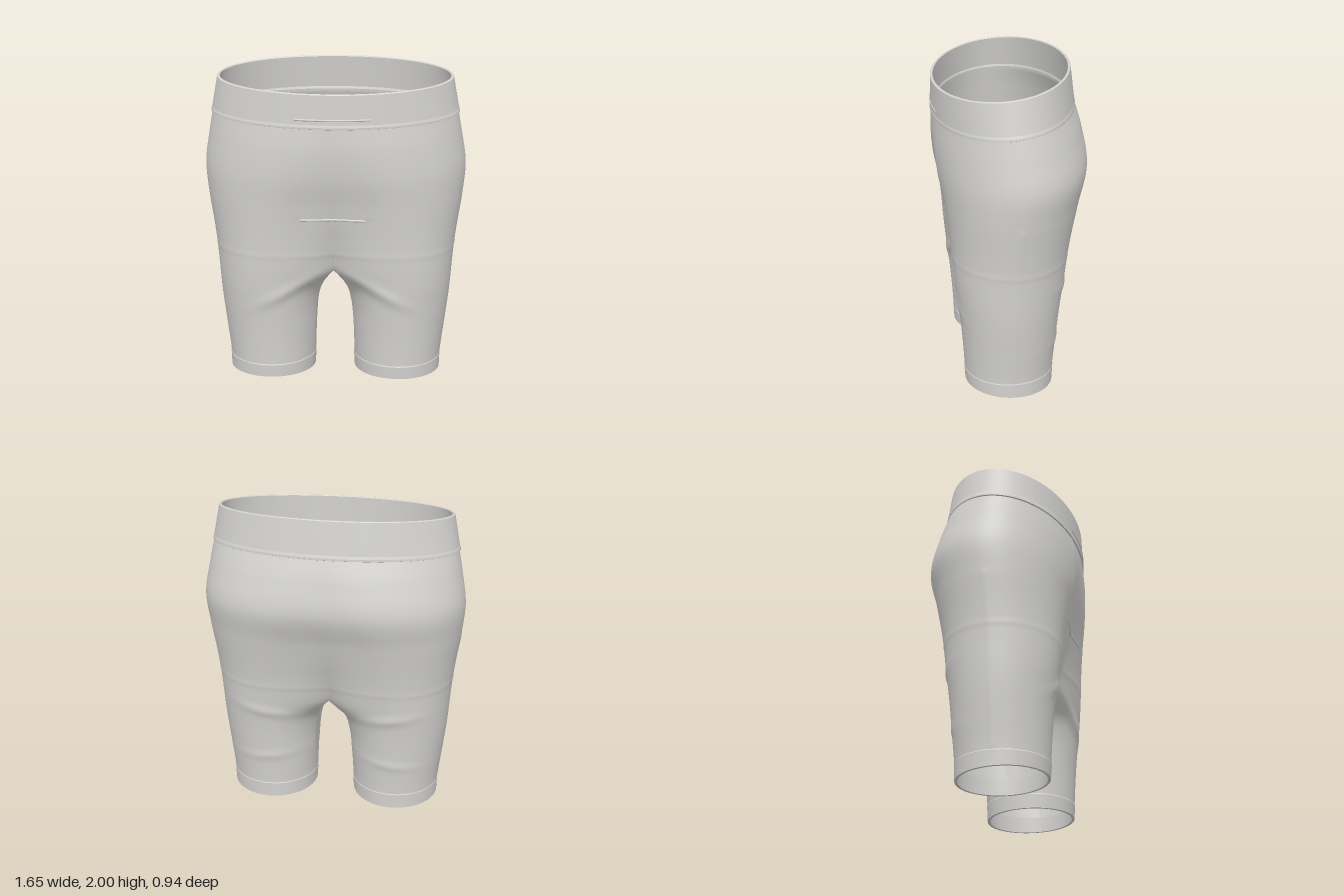
import * as THREE from 'three';
import { mergeGeometries, mergeVertices } from 'three/addons/utils/BufferGeometryUtils.js';

const CROTCH = 0.74, BAND = 1.735, TOP = 1.95;
// Half sections: height, outer x, lobe centre x, inner radius, front z, back z
const ROWS = [
  [0.00, 0.690, 0.410, 0.280, 0.315, -0.240],
  [0.10, 0.690, 0.410, 0.282, 0.318, -0.242],
  [0.30, 0.712, 0.410, 0.295, 0.330, -0.260],
  [0.50, 0.735, 0.405, 0.315, 0.348, -0.280],
  [0.62, 0.745, 0.400, 0.370, 0.362, -0.296],
  [0.74, 0.753, 0.385, 0.540, 0.374, -0.314],
  [0.86, 0.763, 0.360, 0.620, 0.384, -0.332],
  [1.00, 0.780, 0.330, 0.750, 0.395, -0.358],
  [1.20, 0.809, 0.270, 1.050, 0.418, -0.408],
  [1.39, 0.824, 0.170, 1.400, 0.450, -0.468],
  [1.58, 0.795, 0.080, 1.500, 0.465, -0.445],
  [1.75, 0.762, 0.000, 1.600, 0.462, -0.400],
];

// Smooth interpolation of the section table
function section(h) {
  const n = ROWS.length;
  let i = 0;
  while (i < n - 2 && h > ROWS[i + 1][0]) i++;
  const a = ROWS[i], b = ROWS[i + 1], p = ROWS[Math.max(i - 1, 0)], q = ROWS[Math.min(i + 2, n - 1)];
  const d = b[0] - a[0], t = (h - a[0]) / d, t2 = t * t, t3 = t2 * t;
  const [xo, cx, ri, zf, zb] = [1, 2, 3, 4, 5].map((c) => {
    const m0 = (b[c] - p[c]) / (b[0] - p[0]) * d, m1 = (q[c] - a[c]) / (q[0] - a[0]) * d;
    return (2 * t3 - 3 * t2 + 1) * a[c] + (t3 - 2 * t2 + t) * m0 + (3 * t2 - 2 * t3) * b[c] + (t3 - t2) * m1;
  });
  return { xo, cx, ri, zc: (zf + zb) / 2, rz: (zf - zb) / 2 };
}

const edgeAngle = (h) => {
  const s = section(Math.max(h, CROTCH));
  return Math.acos(Math.max(-1, -s.cx / s.ri));
};
const bump = (v, w) => Math.exp(-(v * v) / (w * w));
const step = THREE.MathUtils.smoothstep;

// Point on the cloth at height h and angle a (front = PI/2, outside = 0)
function skin(h, a, off = 0) {
  const s = section(h), c = Math.cos(a), n = Math.sin(a);
  // Raised stitching around the thigh and down the outside of the leg
  const raised = off + 0.002 * bump(h - 0.86, 0.014)
    + 0.003 * bump(Math.atan2(n, c), 0.05) * step(h, 0.09, 0.13) * (1 - step(h, 1.17, 1.2));
  let x = s.cx + ((c > 0 ? s.xo - s.cx : s.ri) + raised) * c;
  const gap = h < CROTCH ? 0.13 * (1 - Math.exp(-7 * (CROTCH - h))) - off : 0;
  x = Math.max(x, gap);
  let z = s.zc + (s.rz + raised) * n;
  // Front panel edge, and soft folds running out from the crotch and around the thighs
  if (n > 0) {
    z += 0.003 * bump(x - 0.215, 0.022) * step(h, 1.1, 1.14);
    z += 0.014 * n * bump(h - 0.76 + 0.5 * x, 0.045) * bump(x - 0.25, 0.2);
  } else z += 0.009 * n * (bump(h - 0.62 - 0.12 * x, 0.035) + 0.7 * bump(h - 0.36 + 0.1 * x, 0.03)) * bump(x - 0.4, 0.2);
  const tilt = 0.09 * step(h, 0.95, BAND);
  const hem = 1 - step(h, 0, 0.1);
  return new THREE.Vector3(x, h - tilt * z + hem * (0.008 + 0.03 * z), z);
}

// Point on the waistband ellipse
function bandPoint(h, a, off = 0) {
  const k = (h - BAND) / (TOP - BAND), mix = THREE.MathUtils.lerp;
  const zf = mix(0.47, 0.465, k), zb = mix(-0.408, -0.38, k);
  const z = (zf + zb) / 2 + ((zf - zb) / 2 + off) * Math.sin(a);
  return new THREE.Vector3((mix(0.771, 0.73, k) + off) * Math.cos(a), h - mix(0.09, 0.125, k) * z, z);
}

// Surface from rows of points; side -1 mirrors it
function grid(rows, side = 1) {
  const n = rows[0].length, pos = [], idx = [];
  rows.forEach((r) => r.forEach((p) => pos.push(side * p.x, p.y, p.z)));
  for (let i = 0; i < rows.length - 1; i++) for (let j = 0; j < n - 1; j++) {
    const a = i * n + j, b = a + 1, c = a + n, d = c + 1;
    if (side > 0) idx.push(a, b, c, b, d, c);
    else idx.push(a, c, b, b, c, d);
  }
  const g = new THREE.BufferGeometry();
  g.setAttribute('position', new THREE.Float32BufferAttribute(pos, 3));
  g.setIndex(idx);
  return g;
}

function smooth(g) {
  const m = mergeVertices(g, 1e-5);
  m.computeVertexNormals();
  return m;
}

const range = (n, f) => Array.from({ length: n + 1 }, (_, i) => f(i / n));

// Closed ring with a sharp-edged profile of [offset, height] points
function ringSolid(profile, fn, side = 1) {
  const strips = profile.map((p, i) => {
    const q = profile[(i + 1) % profile.length];
    return smooth(grid([p, q].map(([o, h]) => range(96, (u) => fn(h, -u * Math.PI * 2, o))), side));
  });
  return mergeGeometries(strips);
}

// Both legs and the hips as one seamless cloth surface
function bodyGeometry() {
  const parts = [];
  for (const side of [1, -1]) {
    const outer = (h) => range(96, (u) => skin(h, edgeAngle(h) * (1 - 2 * u)));
    const inner = (h) => {
      const e = edgeAngle(h);
      return range(24, (u) => skin(h, -e - u * (2 * Math.PI - 2 * e)));
    };
    const legHeights = range(50, (u) => 0.05 + (CROTCH - 0.05) * u);
    const hipHeights = range(72, (u) => CROTCH + (1.75 - CROTCH) * u);
    parts.push(grid(legHeights.map(outer), side), grid(legHeights.map(inner), side), grid(hipHeights.map(outer), side));
  }
  return smooth(mergeGeometries(parts));
}

// Inside face of the cloth, pushed in by its thickness
function liningGeometry(body) {
  const g = body.clone(), p = g.attributes.position, n = g.attributes.normal;
  for (let i = 0; i < p.count; i++) {
    p.setXYZ(i, p.getX(i) - 0.012 * n.getX(i), p.getY(i) - 0.012 * n.getY(i), p.getZ(i) - 0.012 * n.getZ(i));
  }
  const id = g.index.array;
  for (let i = 0; i < id.length; i += 3) [id[i], id[i + 1]] = [id[i + 1], id[i]];
  g.computeVertexNormals();
  return g;
}

export function createModel() {
  const group = new THREE.Group();
  const cloth = new THREE.MeshStandardMaterial({ color: 0xd5d4d1 });
  cloth.name = 'light grey cloth';
  const add = (name, geometry) => {
    const m = new THREE.Mesh(geometry, cloth);
    m.name = name;
    group.add(m);
  };
  const seam = (name, pts, r) =>
    add(name, new THREE.TubeGeometry(new THREE.CatmullRomCurve3(pts), pts.length * 2, r, 8));

  const body = bodyGeometry();
  add('shortsBody', body);
  add('lining', liningGeometry(body));

  // Waistband with a rolled lower edge
  add('waistband', ringSolid([[-0.008, BAND - 0.012], [0.002, BAND - 0.008], [0.003, BAND + 0.004],
    [0, BAND + 0.02], [0, TOP - 0.004], [-0.004, TOP], [-0.014, TOP], [-0.017, TOP - 0.004],
    [-0.018, BAND + 0.02], [-0.024, BAND + 0.006], [-0.024, BAND - 0.012]], bandPoint));

  // Leg hems
  for (const side of [1, -1]) {
    add(side > 0 ? 'leftHem' : 'rightHem', ringSolid([[0, 0], [0.003, 0.092], [0.003, 0.1], [0, 0.106],
      [-0.016, 0.106], [-0.016, 0]], skin, side));
  }

  // Stitched bottom of the front panel, and its top on the waistband
  seam('panelBottomSeam', range(20, (u) => {
    const x = -0.2 + 0.4 * u, s = section(1.11), ax = Math.abs(x);
    const p = skin(1.11, Math.acos((ax - s.cx) / (ax > s.cx ? s.xo - s.cx : s.ri)), -0.001);
    return p.setX(x);
  }), 0.008);
  seam('panelTopSeam', range(20, (u) => bandPoint(1.785, Math.PI / 2 + 0.3 * (1 - 2 * u), -0.002)), 0.007);

  // Short centre seam above the crotch
  seam('centreSeam', range(8, (u) => {
    const h = CROTCH + 0.01 + 0.12 * u;
    return skin(h, edgeAngle(h), -0.001).setX(0);
  }), 0.005);
  return group;
}
